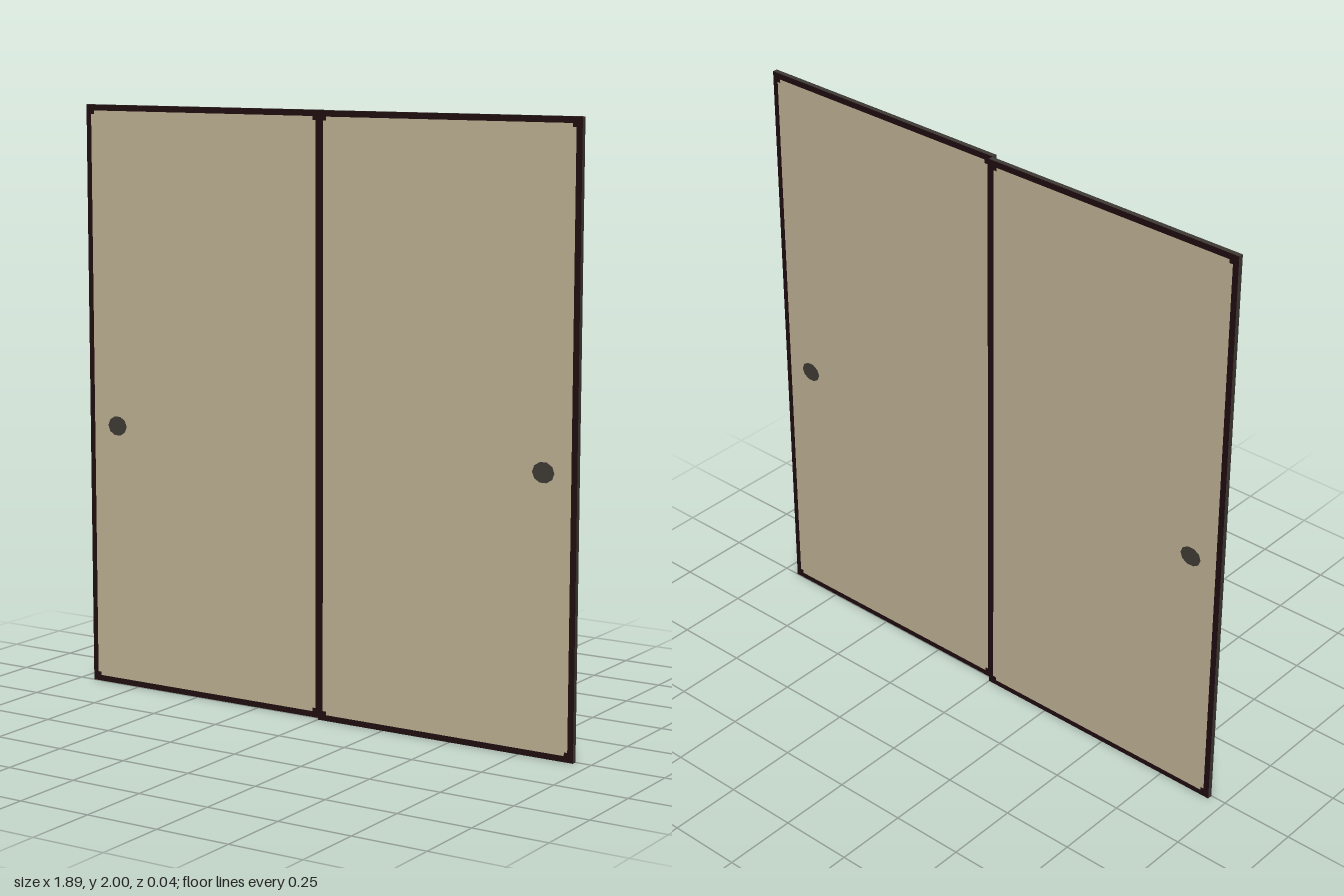
import * as THREE from 'three';

const W = 0.945, H = 2, T = 0.017;      // one door leaf
const BORDER = 0.02, NOTCH = 0.012;     // dark rim and its small corner squares

const mat = (name, color) => {
  const m = new THREE.MeshStandardMaterial({ color });
  m.name = name;
  return m;
};

// Paper field: a rectangle with a square notch at each corner
function fieldShape() {
  const x = W / 2 - BORDER, y = H / 2 - BORDER, n = NOTCH;
  const pts = [
    [-x + n, -y], [x - n, -y], [x - n, -y + n], [x, -y + n],
    [x, y - n], [x - n, y - n], [x - n, y], [-x + n, y],
    [-x + n, y - n], [-x, y - n], [-x, -y + n], [-x + n, -y + n],
  ];
  return new THREE.Shape(pts.map(([a, b]) => new THREE.Vector2(a, b)));
}

export function createModel() {
  const paper = mat('paper beige', 0xbcb092);
  const lacquer = mat('black brown lacquer', 0x1f0d0f);
  const grey = mat('dark grey', 0x3e3934);

  // Frame: grey outer edges, lacquered front and back
  const frameGeo = new THREE.BoxGeometry(W, H, T);
  const frameMats = [grey, grey, grey, grey, lacquer, lacquer];

  const fieldGeo = new THREE.ShapeGeometry(fieldShape());
  const pullGeo = new THREE.CircleGeometry(1, 10).scale(0.039, 0.034, 1);

  const model = new THREE.Group();
  model.name = 'slidingDoors';
  for (const side of [-1, 1]) {
    const door = new THREE.Group();
    door.name = side < 0 ? 'rightDoor' : 'leftDoor';
    door.position.set(side * W / 2, H / 2, side * (T / 2 + 0.001));

    const frame = new THREE.Mesh(frameGeo, frameMats);
    frame.name = 'frame';
    door.add(frame);

    // Paper field and finger pull on both faces
    for (const face of [1, -1]) {
      const skin = new THREE.Group();
      skin.name = face > 0 ? 'frontFace' : 'backFace';
      skin.rotation.y = face > 0 ? 0 : Math.PI;

      const field = new THREE.Mesh(fieldGeo, paper);
      field.name = 'paperField';
      field.position.z = T / 2 + 0.001;

      const pull = new THREE.Mesh(pullGeo, grey);
      pull.name = 'fingerPull';
      pull.position.set(side * face * (0.828 - W / 2), 0.908 - H / 2, T / 2 + 0.002);

      skin.add(field, pull);
      door.add(skin);
    }
    model.add(door);
  }
  return model;
}
